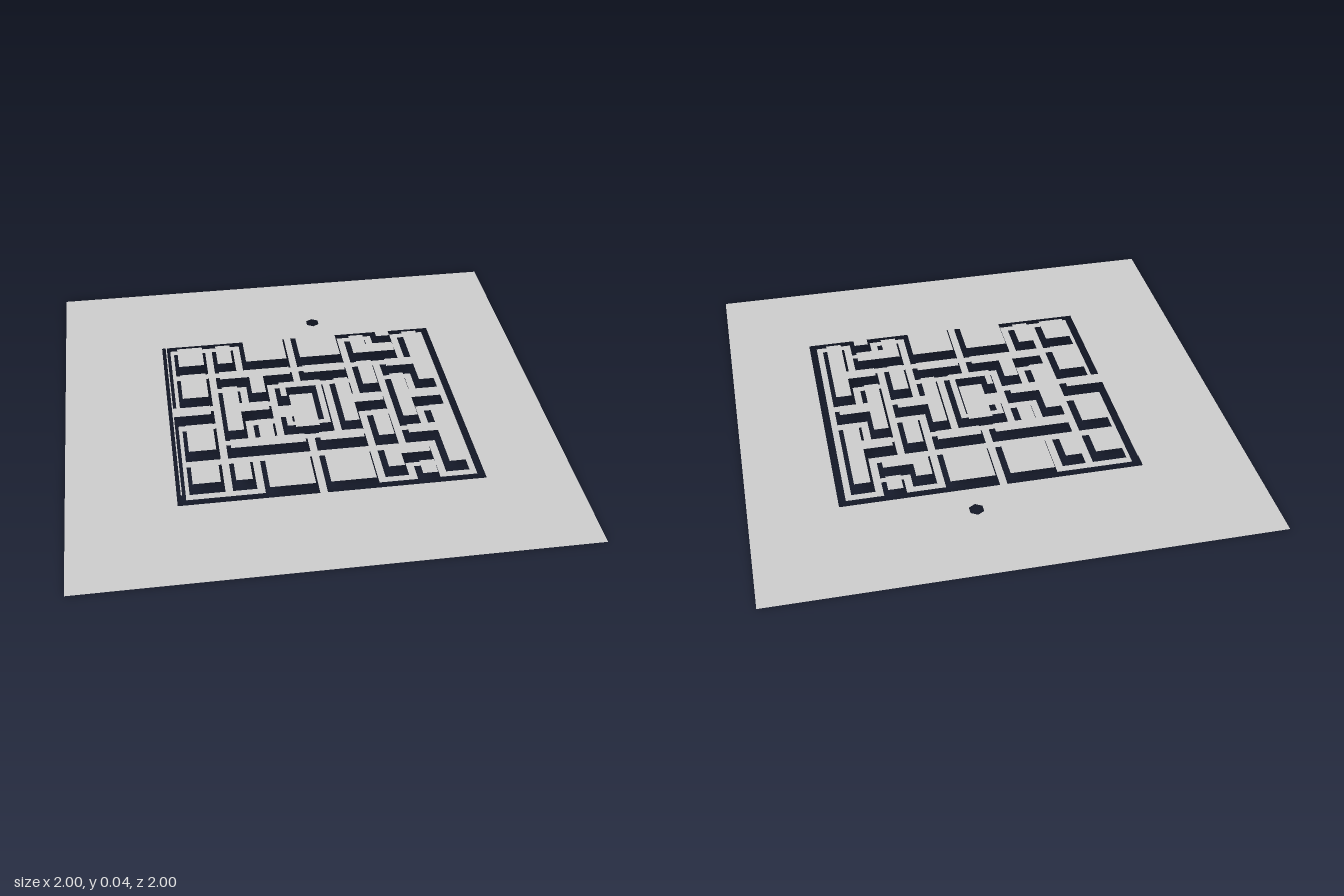
import * as THREE from 'three';

const UNIT = 0.01;        // plan coordinates are in hundredths
const MID_Z = 0.02;       // the maze mirrors front to back about this line
const HEIGHT = 0.04;      // wall tops float above the floor
const INSET = 1.5;        // gap between a floor opening and its wall top

const rect = (x0, z0, x1, z1) => [[x0, z0], [x1, z0], [x1, z1], [x0, z1]];
const mirrorZ = (pts) => pts.map(([x, z]) => [x, -z]);

// Upright bar with a tongue on its right side
const sideT = (x0, x1, x2) => [
  [x0, -17], [x1, -17], [x1, -4.5], [x2, -4.5], [x2, 4.5], [x1, 4.5], [x1, 17], [x0, 17],
];

// Completes an outline from its back half
const closeByMirror = (half) => [...half, ...mirrorZ(half).reverse()];

// Shrinks a right-angled outline evenly
function inset(pts, d) {
  const n = pts.length;
  const turn = Math.sign(THREE.ShapeUtils.area(pts.map(([x, z]) => new THREE.Vector2(x, z))));
  const normal = (a, b) => {
    const len = Math.hypot(b[0] - a[0], b[1] - a[1]);
    return [(-turn * (b[1] - a[1])) / len, (turn * (b[0] - a[0])) / len];
  };
  return pts.map((p, i) => {
    const m = normal(pts[(i + n - 1) % n], p);
    const k = normal(p, pts[(i + 1) % n]);
    return [p[0] + d * (m[0] + k[0]), p[1] + d * (m[1] + k[1])];
  });
}

// Plan points to shape points; shape y becomes -z once laid flat
const toPoints = (pts) => pts.map(([x, z]) => new THREE.Vector2(x * UNIT, -(z * UNIT + MID_Z)));

export function createModel() {
  const group = new THREE.Group();
  const material = new THREE.MeshStandardMaterial({ color: 0xcccccc, side: THREE.DoubleSide });

  const addSheet = (name, shape, y) => {
    const mesh = new THREE.Mesh(new THREE.ShapeGeometry(shape).rotateX(-Math.PI / 2), material);
    mesh.name = name;
    mesh.position.y = y;
    group.add(mesh);
  };

  const walls = [];
  const add = (name, pts) => walls.push({ name, pts });
  const addPair = (name, pts) => {
    add(name + 'Back', pts);
    add(name + 'Front', mirrorZ(pts));
  };

  // Outer walls, split by the entrances in the middle
  add('outerWallRight', closeByMirror([
    [-57, -55], [-1.5, -55], [-1.5, -32], [-22.5, -32], [-22.5, -52], [-53.5, -52],
    [-53.5, -4.5], [-38, -4.5],
  ]));
  add('outerWallLeft', closeByMirror([
    [65, -55], [1.5, -55], [1.5, -32], [22.5, -32], [22.5, -52], [38, -52],
    [38, -44], [47, -44], [47, -52], [62, -52],
  ]));

  // Plain blocks
  addPair('cornerBlock', rect(-52, -49, -38, -32));
  addPair('narrowBlock', rect(-35, -49, -25.5, -32));
  addPair('sideBlock', rect(-52, -28.5, -38, -8));
  addPair('crossBlock', rect(1.5, -28.5, 22.5, -20));
  addPair('uprightBlock', rect(25.5, -28.5, 35, -8));

  // Branched blocks
  addPair('stemBlock', [
    [-35, -28.5], [-1.5, -28.5], [-1.5, -20], [-13.5, -20], [-13.5, -8],
    [-22.5, -8], [-22.5, -20], [-35, -20],
  ]);
  addPair('angleBlock', [
    [25.5, -49], [35, -49], [35, -41.5], [47, -41.5], [47, -32], [25.5, -32],
  ]);
  addPair('branchBlock', [
    [50, -49], [59.5, -49], [59.5, -8], [50, -8], [50, -20], [38, -20], [38, -28.5], [50, -28.5],
  ]);
  add('tBlockRight', sideT(-35, -25.5, -13.5));
  add('tBlockMiddle', sideT(13.5, 22.5, 35));
  add('tBlockLeft', sideT(38, 47, 59.5));

  // Central chamber, open on one side
  add('centreChamber', closeByMirror([
    [10.5, -17], [-10.5, -17], [-10.5, -4], [-5, -4], [-5, -11.5], [5, -11.5],
  ]));

  // Floor with an opening under every wall, and a six-sided hole behind the maze
  const floor = new THREE.Shape(
    [[-1, -1], [1, -1], [1, 1], [-1, 1]].map(([x, y]) => new THREE.Vector2(x, y)),
  );
  for (const { pts } of walls) floor.holes.push(new THREE.Path(toPoints(pts)));
  const hexagon = [];
  for (let i = 0; i < 6; i++) {
    const a = Math.PI / 6 + (i * Math.PI) / 3;
    hexagon.push(new THREE.Vector2(0.135 + 0.031 * Math.cos(a), 0.65 + 0.031 * Math.sin(a)));
  }
  floor.holes.push(new THREE.Path(hexagon));
  addSheet('floor', floor, 0);

  // Raised wall tops
  for (const { name, pts } of walls) {
    addSheet(name, new THREE.Shape(toPoints(inset(pts, INSET))), HEIGHT);
  }
  return group;
}
